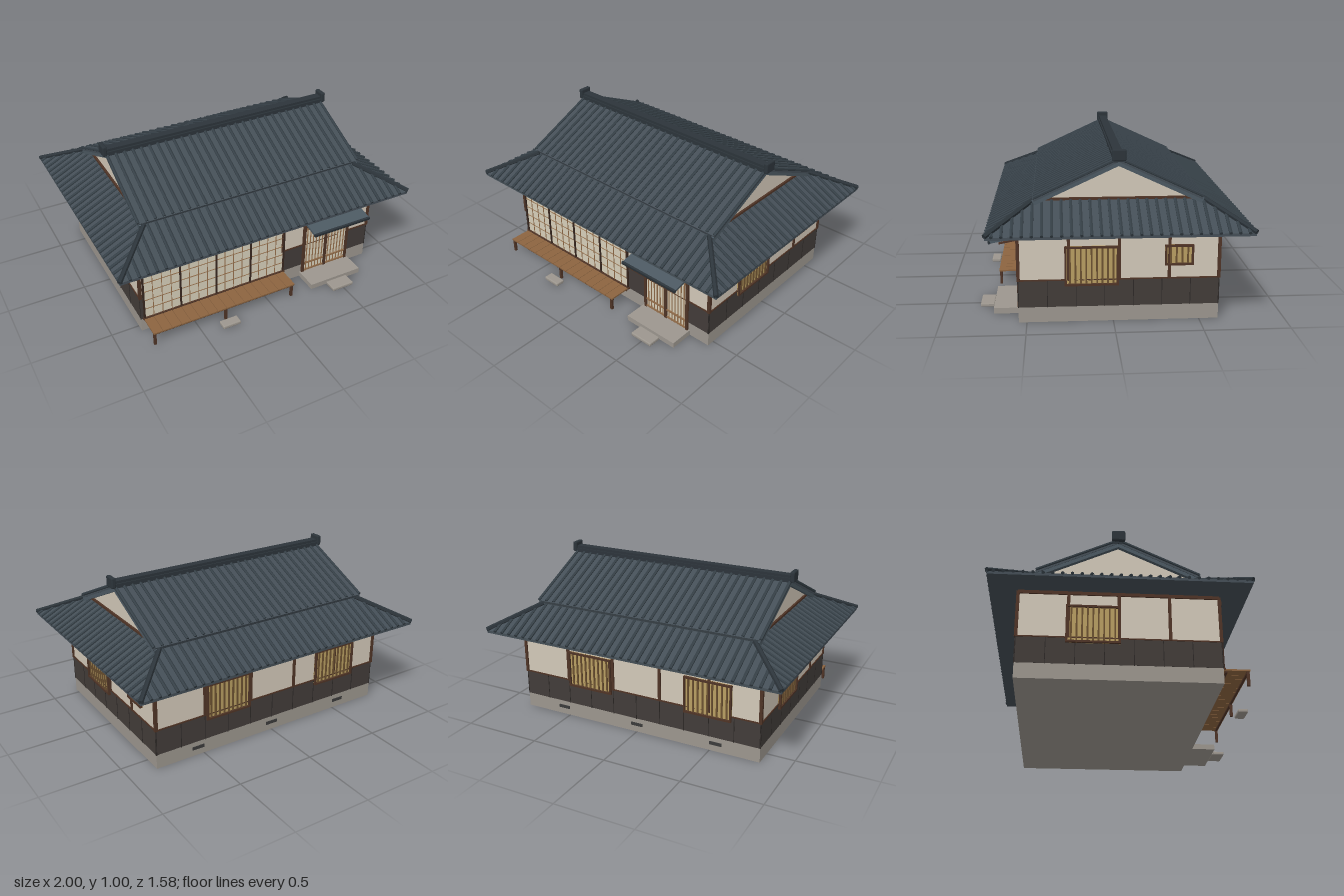
import * as THREE from 'three';
import { RoundedBoxGeometry } from 'three/addons/geometries/RoundedBoxGeometry.js';

const COLORS = {
  roof: 0x444e56, rib: 0x353f46, barge: 0x4c5962, ridge: 0x2c343a, plaster: 0xd2c8b8, wainscot: 0x423c39,
  batten: 0x2c2826, wood: 0x4f3426, darkWood: 0x38271f, stone: 0x9c968e, paper: 0xd8d0bb,
  lattice: 0x96704c, screen: 0xb89e62, slat: 0x6b5030, deck: 0x8c6440, vent: 0x3a3a3a,
};
const mats = {};
for (const k in COLORS) {
  mats[k] = new THREE.MeshStandardMaterial({ color: COLORS[k], flatShading: true, side: THREE.DoubleSide });
}

const CZ = -0.033;            // house centre in z
const HX = 0.82, HZ = 0.578;  // half size of the walls

function add(parent, name, geo, mat) {
  const m = new THREE.Mesh(geo, mats[mat]);
  m.name = name;
  parent.add(m);
  return m;
}
// Box given by its ranges on each axis
function box(parent, name, mat, x0, x1, y0, y1, z0, z1) {
  const m = add(parent, name, new THREE.BoxGeometry(x1 - x0, y1 - y0, z1 - z0), mat);
  m.position.set((x0 + x1) / 2, (y0 + y1) / 2, (z0 + z1) / 2);
  return m;
}
// Round tile rib between two points
function rib(parent, name, mat, a, b, r) {
  const d = new THREE.Vector3().subVectors(b, a);
  const m = add(parent, name, new THREE.CylinderGeometry(r, r, d.length(), 6), mat);
  m.position.addVectors(a, b).multiplyScalar(0.5);
  m.quaternion.setFromUnitVectors(new THREE.Vector3(0, 1, 0), d.normalize());
  return m;
}
function group(parent, name, angle = 0, z = 0) {
  const g = new THREE.Group();
  g.name = name;
  g.rotation.y = angle;
  g.position.z = z;
  parent.add(g);
  return g;
}
const V = (x, y, z) => new THREE.Vector3(x, y, z);

// Slatted window on a wall whose surface is at local z = d
function slatWindow(wall, u, w, y0, y1, d) {
  const g = group(wall, 'slattedWindow'), a = u - w / 2, b = u + w / 2, t = 0.012;
  box(g, 'screen', 'screen', a, b, y0, y1, d, d + 0.006);
  for (const [x0, x1, p, q] of [[a, a + t, y0, y1], [b - t, b, y0, y1], [a, b, y0, y0 + t], [a, b, y1 - t, y1]])
    box(g, 'windowFrame', 'wood', x0, x1, p, q, d, d + 0.018);
  const n = Math.round(w / 0.031);
  for (let i = 1; i < n; i++) {
    const x = a + (w * i) / n;
    box(g, 'slat', 'slat', x - 0.005, x + 0.005, y0, y1, d, d + 0.013);
  }
}

// Timber posts, rails and wainscot battens of one wall
function timberWall(house, name, angle, half, d, bays, battens, uMin = -half) {
  const g = group(house, name, angle, CZ);
  for (let i = 0; i <= bays; i++) {
    const u = -half + (2 * half * i) / bays;
    if (u >= uMin - 0.01) box(g, 'post', 'wood', u - 0.009, u + 0.009, 0.25, 0.54, d - 0.01, d + 0.008);
  }
  box(g, 'topBeam', 'wood', -half, half, 0.525, 0.545, d - 0.01, d + 0.009);
  box(g, 'midRail', 'wood', uMin, half, 0.25, 0.258, d - 0.01, d + 0.006);
  for (let i = 0; i <= battens; i++) {
    const u = -half + (2 * half * i) / battens;
    if (u >= uMin) box(g, 'batten', 'batten', u - 0.002, u + 0.002, 0.09, 0.25, d, d + 0.005);
  }
  return g;
}

function buildWalls(house) {
  box(house, 'foundation', 'stone', -HX - 0.002, HX + 0.002, 0, 0.092, CZ - HZ - 0.002, CZ + HZ + 0.002);
  box(house, 'wainscot', 'wainscot', -HX - 0.003, HX + 0.003, 0.092, 0.252, CZ - HZ - 0.003, CZ + HZ + 0.003);
  box(house, 'plasterWalls', 'plaster', -HX, HX, 0.252, 0.545, CZ - HZ, CZ + HZ);

  const right = timberWall(house, 'sideWall', Math.PI / 2, HZ, HX, 4, 7);
  slatWindow(right, -0.158, 0.31, 0.22, 0.455, HX);
  slatWindow(right, 0.345, 0.165, 0.333, 0.455, HX);
  const left = timberWall(house, 'sideWall', -Math.PI / 2, HZ, HX, 4, 7);
  slatWindow(left, -0.148, 0.31, 0.22, 0.455, HX);
  const back = timberWall(house, 'backWall', Math.PI, HX, HZ, 5, 10);
  slatWindow(back, -0.328, 0.31, 0.22, 0.455, HZ);
  slatWindow(back, 0.485, 0.31, 0.22, 0.455, HZ);
  for (const u of [-0.54, 0, 0.54]) box(back, 'vent', 'vent', u - 0.04, u + 0.04, 0.042, 0.062, HZ, HZ + 0.007);
  const front = timberWall(house, 'frontWall', 0, HX, HZ, 5, 10, 0.17);
  buildSlidingScreens(front);
  buildEntrance(front);
}

// Four paper screens with a fine lattice
function buildSlidingScreens(front) {
  const g = group(front, 'slidingScreens'), d = HZ, x0 = -0.8, pw = 0.2425, y0 = 0.1, y1 = 0.495;
  box(g, 'lintel', 'wood', x0 - 0.01, 0.18, 0.495, 0.522, d, d + 0.016);
  box(g, 'sill', 'wood', x0 - 0.01, 0.18, 0.088, 0.102, d, d + 0.016);
  for (let p = 0; p < 4; p++) {
    const a = x0 + p * pw;
    box(g, 'paper', 'paper', a, a + pw, y0, y1, d, d + 0.005);
    for (let i = 1; i < 4; i++) {
      const x = a + (pw * i) / 4;
      box(g, 'lattice', 'lattice', x - 0.002, x + 0.002, y0, y1, d, d + 0.009);
    }
    for (let j = 1; j < 6; j++) {
      const y = y0 + ((y1 - y0) * j) / 6;
      box(g, 'lattice', 'lattice', a, a + pw, y - 0.002, y + 0.002, d, d + 0.008);
    }
  }
  for (let p = 0; p <= 4; p++) {
    const x = x0 + p * pw;
    box(g, 'screenStile', 'darkWood', x - 0.005, x + 0.005, y0, y1, d, d + 0.013);
  }
}

// Barred double door with a frame
function buildEntrance(front) {
  const g = group(front, 'entranceDoor'), d = HZ, a = 0.325, b = 0.66;
  box(g, 'doorPaper', 'paper', a, b, 0.035, 0.4, d, d + 0.006);
  for (const x of [a, (a + b) / 2, b]) box(g, 'doorStile', 'wood', x - 0.009, x + 0.009, 0.035, 0.405, d, d + 0.015);
  box(g, 'doorHead', 'wood', a - 0.009, b + 0.009, 0.39, 0.41, d, d + 0.018);
  for (const y of [0.045, 0.1, 0.375]) box(g, 'doorRail', 'lattice', a, b, y - 0.006, y + 0.006, d, d + 0.012);
  for (let i = 1; i < 14; i++) {
    const x = a + ((b - a) * i) / 14;
    box(g, 'doorBar', 'lattice', x - 0.003, x + 0.003, 0.035, 0.39, d, d + 0.01);
  }
}

function buildPorch(house) {
  // Canopy over the door
  const c = group(house, 'doorCanopy', 0, 0.545);
  const tilt = group(c, 'canopyRoof');
  tilt.position.set(0.495, 0.48, 0);
  tilt.rotation.x = 0.19;
  box(tilt, 'canopySlab', 'barge', -0.205, 0.205, -0.008, 0.006, 0, 0.175);
  box(tilt, 'canopyEdge', 'ridge', -0.207, 0.207, -0.01, 0.008, 0.165, 0.178);
  for (const x of [-0.18, 0.18]) box(tilt, 'canopyBracket', 'wood', x - 0.007, x + 0.007, -0.028, -0.018, 0, 0.12);
  // Stone slab and steps
  box(house, 'porchSlab', 'stone', 0.305, 0.68, 0, 0.035, 0.54, 0.7);
  for (const [x, w, z, dz, y] of [[0.495, 0.155, 0.745, 0.085, 0.012], [-0.32, 0.12, 0.75, 0.06, 0.02]]) {
    const s = add(house, 'stepStone', new RoundedBoxGeometry(w, 0.023, dz, 1, 0.006), 'stone');
    s.position.set(x, y, z);
  }
  // Veranda deck on posts
  const v = group(house, 'veranda');
  for (let i = 0; i < 16; i++) {
    const x = -0.805 + i * 0.0612;
    box(v, 'deckBoard', 'deck', x, x + 0.0585, 0.086, 0.096, 0.54, 0.7);
  }
  for (const z of [0.56, 0.68]) box(v, 'deckBeam', 'wood', -0.8, 0.17, 0.076, 0.087, z, z + 0.012);
  for (const x of [-0.795, -0.32, 0.155]) box(v, 'deckPost', 'wood', x - 0.008, x + 0.008, 0, 0.086, 0.68, 0.696);
}

function buildRoof(house) {
  const roof = group(house, 'roof', 0, CZ);
  const EX = 0.99, EZ = 0.745, IX = 0.73, IZ = 0.485, E = 0.563, T = 0.7;
  // Hipped skirt: rectangular rings joined by quads
  const rings = [[0, 0, 0.546], [EX, EZ, 0.546], [EX, EZ, E], [IX, IZ, T], [0, 0, T]];
  const pos = [], idx = [];
  rings.forEach(([x, z, y], r) => {
    pos.push(x, y, z, x, y, -z, -x, y, -z, -x, y, z);
    if (r) for (let i = 0; i < 4; i++) {
      const a = (r - 1) * 4 + i, b = (r - 1) * 4 + ((i + 1) % 4);
      idx.push(a, b, b + 4, a, b + 4, a + 4);
    }
  });
  let geo = new THREE.BufferGeometry();
  geo.setAttribute('position', new THREE.Float32BufferAttribute(pos, 3));
  geo.setIndex(idx);
  geo = geo.toNonIndexed();
  geo.computeVertexNormals();
  add(roof, 'skirtRoof', geo, 'roof');

  // Gable triangles
  const tri = new THREE.Shape([[-IZ, T - 0.01], [IZ, T - 0.01], [0, 0.93]].map(p => new THREE.Vector2(...p)));
  const gable = new THREE.ExtrudeGeometry(tri, { depth: 1.43, bevelEnabled: false });
  gable.translate(0, 0, -0.715).rotateY(Math.PI / 2);
  add(roof, 'gableWalls', gable, 'plaster');

  const step = 0.0545;
  const up0 = 0.946, up1 = 0.722, slope = Math.atan2(up0 - up1, IZ), len = Math.hypot(up0 - up1, IZ);
  for (const s of [1, -1]) {
    // Main slope with bargeboards at the gables
    const side = group(roof, 'mainSlope', s > 0 ? 0 : Math.PI);
    const slab = box(side, 'mainRoof', 'roof', -0.765, 0.765, -0.01, 0.01, -len / 2, len / 2);
    slab.position.set(0, (up0 + up1) / 2 - 0.01, IZ / 2);
    slab.rotation.x = slope;
    for (const x of [-0.75, 0.75]) {
      const board = box(side, 'bargeboard', 'barge', -0.012, 0.012, -0.016, 0.016, -len / 2, len / 2);
      board.position.set(x, (up0 + up1) / 2 - 0.027, IZ / 2);
      board.rotation.x = slope;
    }
    for (let i = -14; i <= 14; i++)
      rib(side, 'mainRib', 'rib', V(i * step, up0 + 0.002, 0), V(i * step, up1 + 0.002, IZ), 0.01);
    // Skirt ribs, cut short at the hips
    for (let i = -18; i <= 18; i++) {
      const x = i * step, k = Math.min(1, (EX - Math.abs(x)) / (EX - IX));
      rib(side, 'skirtRib', 'rib', V(x, E + 0.002, EZ + 0.004), V(x, E + (T - E) * k, EZ - (EZ - IZ) * k), 0.01);
    }
    const end = group(roof, 'hipEnd', (s * Math.PI) / 2);
    for (let i = -13; i <= 13; i++) {
      const u = i * step, k = Math.min(1, (EZ - Math.abs(u)) / (EZ - IZ));
      rib(end, 'skirtRib', 'rib', V(u, E + 0.002, EX + 0.004), V(u, E + (T - E) * k, EX - (EX - IX) * k), 0.01);
    }
    box(end, 'gableBeam', 'wood', -0.455, 0.455, T - 0.002, T + 0.014, 0.71, 0.728);
    // Hip ridges and ridge end tiles
    for (const t of [1, -1])
      rib(roof, 'hipRidge', 'ridge', V(s * (EX + 0.001), E + 0.006, t * (EZ + 0.001)), V(s * IX, T + 0.008, t * IZ), 0.015);
    const cap = add(roof, 'ridgeEnd', new RoundedBoxGeometry(0.028, 0.066, 0.08, 1, 0.007), 'ridge');
    cap.position.set(s * 0.778, 0.967, 0);
  }
  box(roof, 'ridgeBase', 'ridge', -0.77, 0.77, 0.925, 0.958, -0.034, 0.034);
  box(roof, 'ridgeTop', 'ridge', -0.77, 0.77, 0.955, 0.974, -0.026, 0.026);
}

export function createModel() {
  const house = new THREE.Group();
  house.name = 'house';
  buildWalls(house);
  buildPorch(house);
  buildRoof(house);
  return house;
}
